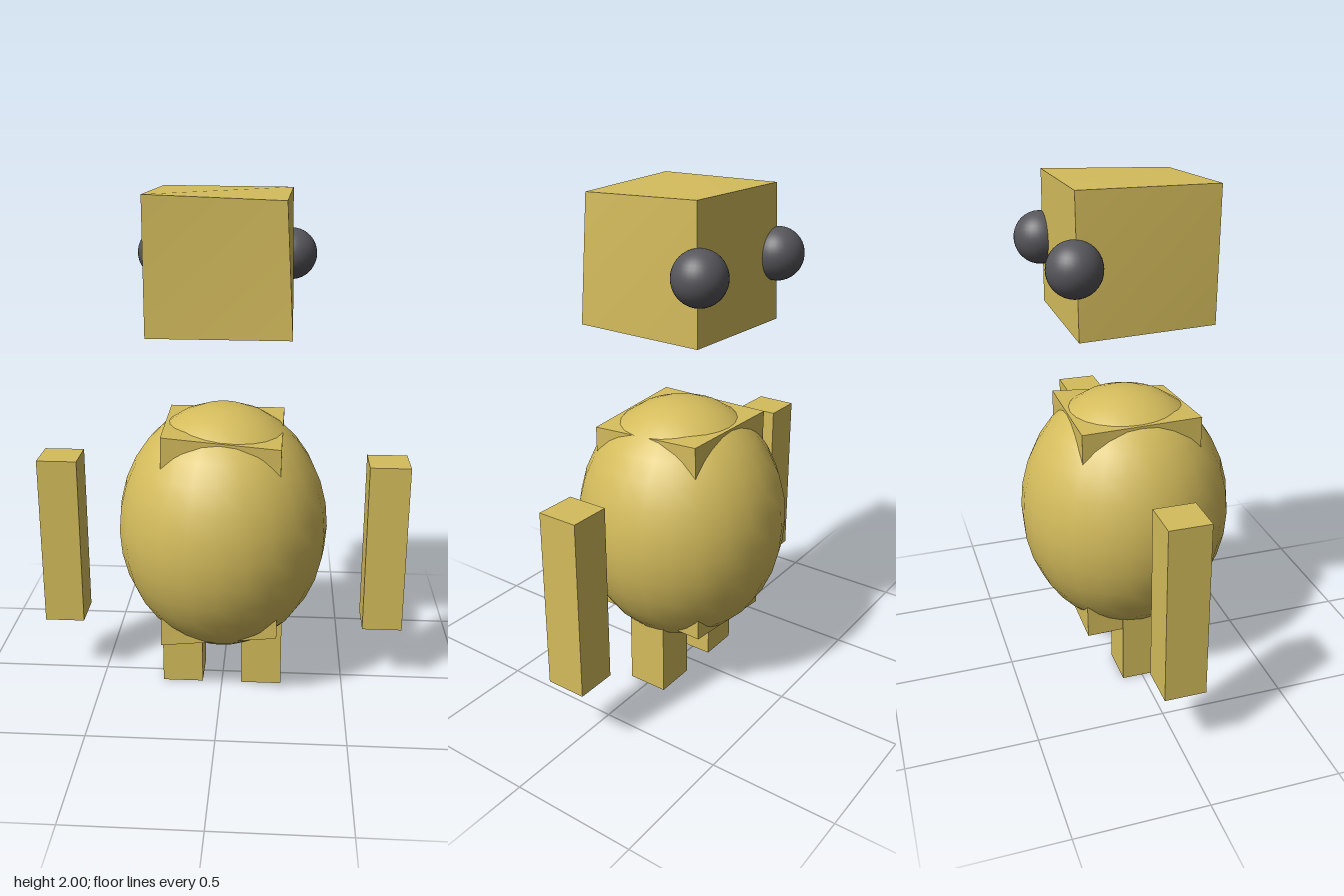
import * as THREE from 'three';

const gold = new THREE.MeshStandardMaterial({ name: 'gold', color: 0xd4bc5c });
const charcoal = new THREE.MeshStandardMaterial({ name: 'charcoal', color: 0x56565b });

function addPart(group, name, geometry, material, x = 0, y = 0, z = 0) {
  const mesh = new THREE.Mesh(geometry, material);
  mesh.name = name;
  mesh.position.set(x, y, z);
  group.add(mesh);
  return mesh;
}

// Box whose eight corners are moved to given places.
// Order of corners: back -x, back +x, front -x, front +x; bottom four, then top four.
function unevenBox(corners) {
  const geometry = new THREE.BoxGeometry(1, 1, 1);
  const p = geometry.attributes.position;
  for (let i = 0; i < p.count; i++) {
    const index = (p.getY(i) > 0 ? 4 : 0) + (p.getZ(i) > 0 ? 2 : 0) + (p.getX(i) > 0 ? 1 : 0);
    p.setXYZ(i, ...corners[index]);
  }
  geometry.computeVertexNormals();
  return geometry;
}

export function createModel() {
  const model = new THREE.Group();
  model.name = 'robotFigure';

  // Slightly crooked cube head
  addPart(model, 'head', unevenBox([
    [-0.275, 1.485, -0.25], [0.255, 1.49, -0.248], [-0.265, 1.5, 0.26], [0.264, 1.5, 0.268],
    [-0.245, 2.0, -0.248], [0.258, 1.995, -0.244], [-0.264, 2.0, 0.267], [0.236, 1.98, 0.252],
  ]), gold);

  // Crooked box core, with its corners poking out of the egg-shaped body
  addPart(model, 'torsoCore', unevenBox([
    [-0.235, 0.235, -0.225], [0.23, 0.3, -0.243], [-0.235, 0.245, 0.225], [0.225, 0.305, 0.25],
    [-0.23, 1.115, -0.235], [0.24, 1.113, -0.23], [-0.22, 1.123, 0.24], [0.232, 1.085, 0.245],
  ]), gold);
  const body = new THREE.SphereGeometry(0.42, 24, 16);
  body.scale(1, 0.505 / 0.42, 1);
  addPart(model, 'body', body, gold, 0, 0.685, 0);

  // Mirrored limbs and ball knobs on the rear corners of the head
  for (const [side, s] of [['left', 1], ['right', -1]]) {
    addPart(model, side + 'Arm', new THREE.BoxGeometry(0.16, 0.7, 0.16), gold, s * 0.655, 0.615, 0);
    addPart(model, side + 'Leg', new THREE.BoxGeometry(0.165, 0.4, 0.165), gold, s * 0.163, 0.2, 0);
    addPart(model, side + 'Knob', new THREE.SphereGeometry(0.1, 32, 20), charcoal, s * 0.256, 1.74, -0.256);
  }
  return model;
}
